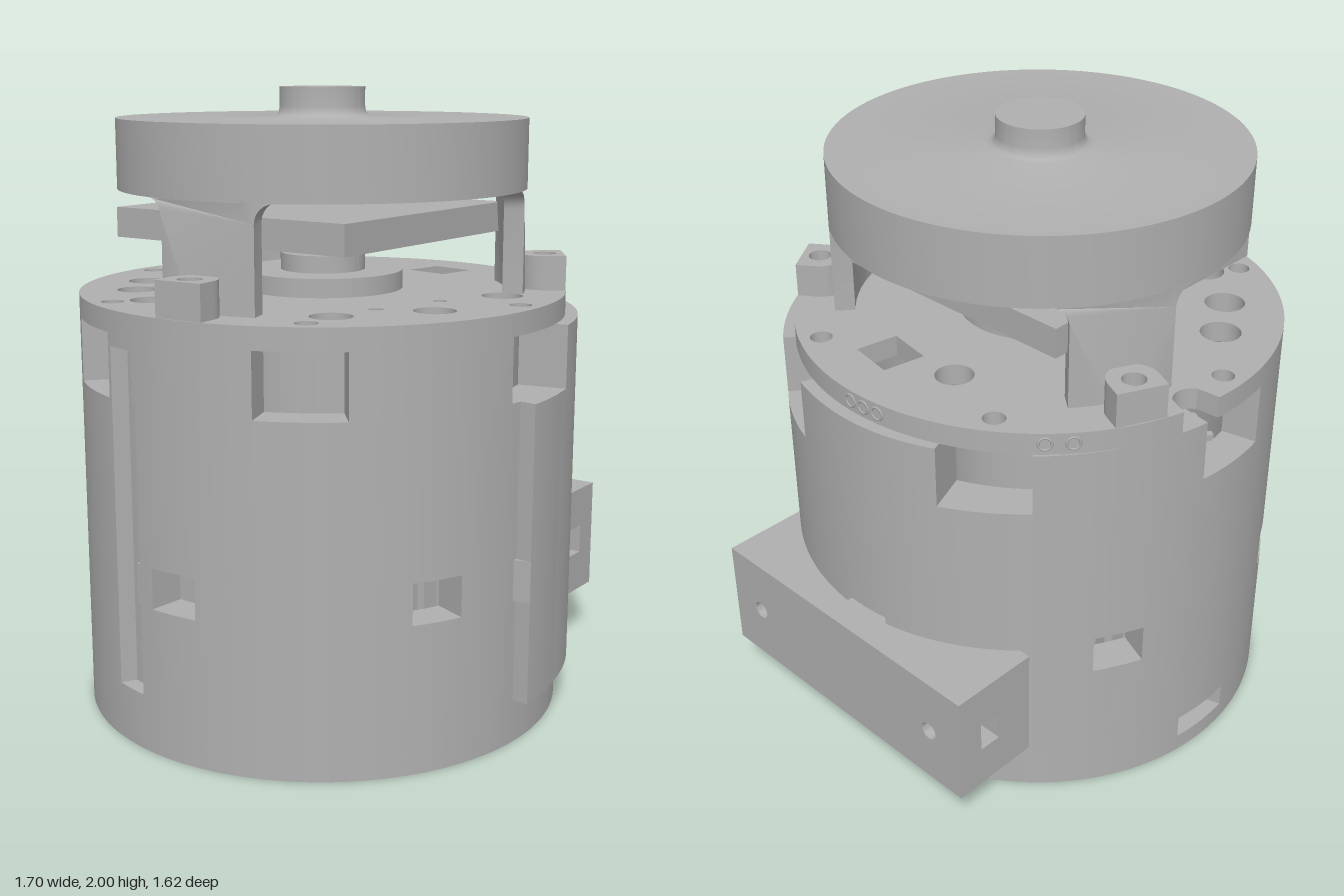
import * as THREE from 'three';
import { toCreasedNormals } from 'three/addons/utils/BufferGeometryUtils.js';

const D = Math.PI / 180;
// Plan point at radius r and angle a (degrees, 0 = front, 90 = +x); shape Y is -z
const pt = (r, a) => new THREE.Vector2(r * Math.sin(a * D), -r * Math.cos(a * D));

// Extrude a plan shape upwards from y0 to y1
function rise(shape, y0, y1) {
  const g = new THREE.ExtrudeGeometry(shape, { depth: y1 - y0, bevelEnabled: false, curveSegments: 20 });
  g.rotateX(-Math.PI / 2).translate(0, y0, 0);
  return toCreasedNormals(g, 0.5);
}

function arc(radius, a0, a1, step = 2) {
  const n = Math.max(2, Math.ceil((a1 - a0) / step)), out = [];
  for (let i = 0; i <= n; i++) {
    const a = a0 + (a1 - a0) * i / n;
    out.push(pt(typeof radius === 'function' ? radius(a) : radius, a));
  }
  return out;
}

const sector = (rIn, rOut, a0, a1) =>
  new THREE.Shape([...arc(rOut, a0, a1, 1), ...arc(rIn, a0, a1).reverse()]);

const outline = (radius) => new THREE.Shape(arc(radius, 0, 359, 1));

function circle(r, a, size) {
  const c = pt(r, a);
  return new THREE.Path().absarc(c.x, c.y, size, 0, Math.PI * 2, true);
}

const six = [0, 60, 120, 180, 240, 300];
const three = [35, 155, 275];

export function createModel() {
  const root = new THREE.Group();
  root.name = 'motorUnit';
  const body = new THREE.Group();
  body.name = 'assembly';
  body.position.set(-0.065, -0, -0.025);
  root.add(body);
  const metal = new THREE.MeshStandardMaterial({ color: 0xb0b0b0 });
  metal.name = 'plainGrey';

  const add = (name, geometry) => {
    const m = new THREE.Mesh(geometry, metal);
    m.name = name;
    body.add(m);
    return m;
  };
  const cyl = (name, r, y0, y1) => add(name, new THREE.CylinderGeometry(r, r, y1 - y0, 64)).position.y = (y0 + y1) / 2;

  // Base: recessed bottom slabs, then a disc with a notch at the back
  const bottom = outline(() => 0.785);
  bottom.holes.push(circle(0, 0, 0.27), ...six.map(a => circle(0.7, 13 + a, 0.027)));
  add('baseRim', rise(bottom, 0, 0.03));
  const ledge = outline(() => 0.785);
  ledge.holes.push(circle(0, 0, 0.21), ...six.map(a => circle(0.7, 13 + a, 0.027)));
  add('baseLedge', rise(ledge, 0.03, 0.06));
  const hub = outline(() => 0.25);
  hub.holes.push(...[0, 90, 180, 270].map(a => circle(0.135, 134 + a, 0.022)));
  add('baseHub', rise(hub, 0.06, 0.1));
  add('baseBand', rise(sector(0.25, a => (Math.abs(a - 178) < 7 ? 0.7 : 0.785), 0.01, 359.99), 0.06, 0.14));
  cyl('baseFloor', 0.7, 0.1, 0.14);

  // Sleeve: swells towards +x, ends in a sharp step at the front, grooved on the -x side
  const sleeveRadius = (a) => {
    a = (a + 720) % 360;
    const fromStep = (a - 355 + 720) % 360;
    if (fromStep > 155) return 0.785;
    const swell = 0.787 + 0.038 * (1 - THREE.MathUtils.smoothstep(fromStep, 95, 155));
    return swell + 0.013 * Math.max(0, 1 - fromStep / 14);
  };
  const grooved = (a) => (Math.abs(((a + 720) % 360) - 257) < 4 ? 0.735 : sleeveRadius(a));
  const inner = 0.67;
  const wall = (y0, y1, radius) =>
    add('sleeveWall', rise(sector(inner, radius, 355.01, 714.99), y0, y1));
  wall(0.14, 0.18, sleeveRadius);
  wall(0.18, 0.47, grooved);
  for (const a of six) {
    add('sleeveLowerPier', rise(sector(inner, grooved, 38 + a, 86 + a), 0.47, 0.6));
    add('sleeveUpperPier', rise(sector(inner, grooved, 12 + a, 52 + a), 1.09, 1.25));
    add('sleevePierTop', rise(sector(inner, sleeveRadius, 12 + a, 52 + a), 1.25, 1.29));
  }
  wall(0.6, 1.09, grooved);

  // Inner core and toothed ring seen through the windows
  cyl('innerCore', 0.33, 0.14, 1.29);
  add('toothedRing', rise(outline(a => (Math.floor(a / 3) % 2 ? 0.64 : 0.59)), 0.35, 0.75));

  // Top plate with its pattern of holes and an edge notch
  const plate = outline((a) => {
    const s = 0.75 * (a - 170) * D;
    return Math.abs(s) < 0.065 ? 0.75 - Math.sqrt(0.065 ** 2 - s * s) : 0.785;
  });
  plate.holes.push(...six.map(a => circle(0.716, 3 + a, 0.035)));
  for (const a of [309, 340, 16, 204, 223, 245]) plate.holes.push(circle(0.6, a, 0.065));
  plate.holes.push(circle(0.53, 105, 0.06), circle(0.48, 355, 0.022), circle(0.5, 325, 0.022), circle(0.45, 190, 0.022));
  plate.holes.push(new THREE.Path([pt(0.5, 71), pt(0.5, 89), pt(0.64, 87), pt(0.64, 73)]));
  add('topPlate', rise(plate, 1.29, 1.36));

  // Small port rims on the plate edge
  for (const z of [0.02, -0.035, -0.09, -0.55, -0.605]) {
    const rim = add('portRim', new THREE.TorusGeometry(0.02, 0.004, 6, 20));
    const a = Math.atan2(Math.sqrt(0.785 ** 2 - z * z), z);
    rim.position.set(0.785 * Math.sin(a), 1.325, z);
    rim.rotation.y = a;
  }

  // Bolt lugs
  const lug = new THREE.Shape();
  lug.moveTo(-0.08, -0.78);
  lug.lineTo(0.08, -0.78);
  lug.lineTo(0.08, -0.715);
  lug.absarc(0, -0.715, 0.08, 0, Math.PI, false);
  lug.closePath();
  lug.holes.push(circle(0.72, 0, 0.037));
  const lugGeometry = rise(lug, 1.36, 1.47);
  for (const a of three) add('boltLug', lugGeometry).rotation.y = a * D;

  // Bearing collar
  cyl('bearingCollar', 0.26, 1.36, 1.42);
  const seat = outline(() => 0.137);
  seat.holes.push(circle(0, 0, 0.05));
  add('bearingSeat', rise(seat, 1.42, 1.475));

  // Square board held between the legs
  add('squareBoard', new THREE.BoxGeometry(0.895, 0.095, 0.895)).position.set(0.0025, 1.5775, -0.0375);

  // Curved legs: filleted flat outline bent round the axis
  const half = 14.5 * D * 0.655, f = 0.06, side = [], row = [];
  for (let i = 0; i <= 6; i++) {
    const t = i / 6 * Math.PI / 2;
    side.push([half + f - f * Math.cos(t), 1.625 + f * Math.sin(t)]);
  }
  for (let i = -4; i <= 4; i++) row.push(new THREE.Vector2(half * i / 4, 1.36));
  const legShape = new THREE.Shape([
    ...row,
    ...side.map(p => new THREE.Vector2(p[0], p[1])),
    ...[...row].reverse().map(p => new THREE.Vector2(p.x, 1.69)),
    ...side.reverse().map(p => new THREE.Vector2(-p[0], p[1])),
  ]);
  let leg = new THREE.ExtrudeGeometry(legShape, { depth: 0.065, bevelEnabled: false });
  const pos = leg.attributes.position;
  for (let i = 0; i < pos.count; i++) {
    const a = pos.getX(i) / 0.655, r = 0.59 + pos.getZ(i);
    pos.setXYZ(i, r * Math.sin(a), pos.getY(i), r * Math.cos(a));
  }
  leg = toCreasedNormals(leg, 0.5);
  for (const a of three) add('capLeg', leg).rotation.y = a * D;

  // Cap with a filleted shaft boss
  const profile = [[0, 1.685], [0.655, 1.685], [0.655, 1.905], [0.165, 1.905], [0.148, 1.911],
    [0.139, 1.922], [0.136, 1.94], [0.136, 2], [0, 2]].map(p => new THREE.Vector2(...p));
  add('cap', toCreasedNormals(new THREE.LatheGeometry(profile, 96), 0.6));

  // Side connector block, hollowed to fit the sleeve, with slots in both ends
  const blockShape = (slot) => {
    const pts = [], e = 0.545, d = 0.4;
    if (slot) pts.push([0.75, -e], [0.75, -d], [0.825, -d], [0.825, -e]);
    pts.push([0.835, -e], [0.835, e]);
    if (slot) pts.push([0.825, e], [0.825, d], [0.75, d], [0.75, e]);
    for (let i = 12; i >= -12; i--) {
      const z = e * i / 12;
      pts.push([Math.max(0.615, Math.sqrt(0.79 ** 2 - z * z)), z]);
    }
    return new THREE.Shape(pts.map(p => new THREE.Vector2(p[0], -p[1])));
  };
  add('connectorLower', rise(blockShape(false), 0.195, 0.335));
  add('connectorMiddle', rise(blockShape(true), 0.335, 0.435));
  add('connectorUpper', rise(blockShape(false), 0.435, 0.575));
  const face = new THREE.Shape([[-0.545, 0.195], [0.545, 0.195], [0.545, 0.575], [-0.545, 0.575]]
    .map(p => new THREE.Vector2(...p)));
  for (const s of [-0.41, 0.41]) face.holes.push(new THREE.Path().absarc(s, 0.385, 0.03, 0, Math.PI * 2, true));
  const faceGeometry = new THREE.ExtrudeGeometry(face, { depth: 0.08, bevelEnabled: false });
  faceGeometry.rotateY(Math.PI / 2).translate(0.835, 0, 0);
  add('connectorFace', toCreasedNormals(faceGeometry, 0.6));

  return root;
}
